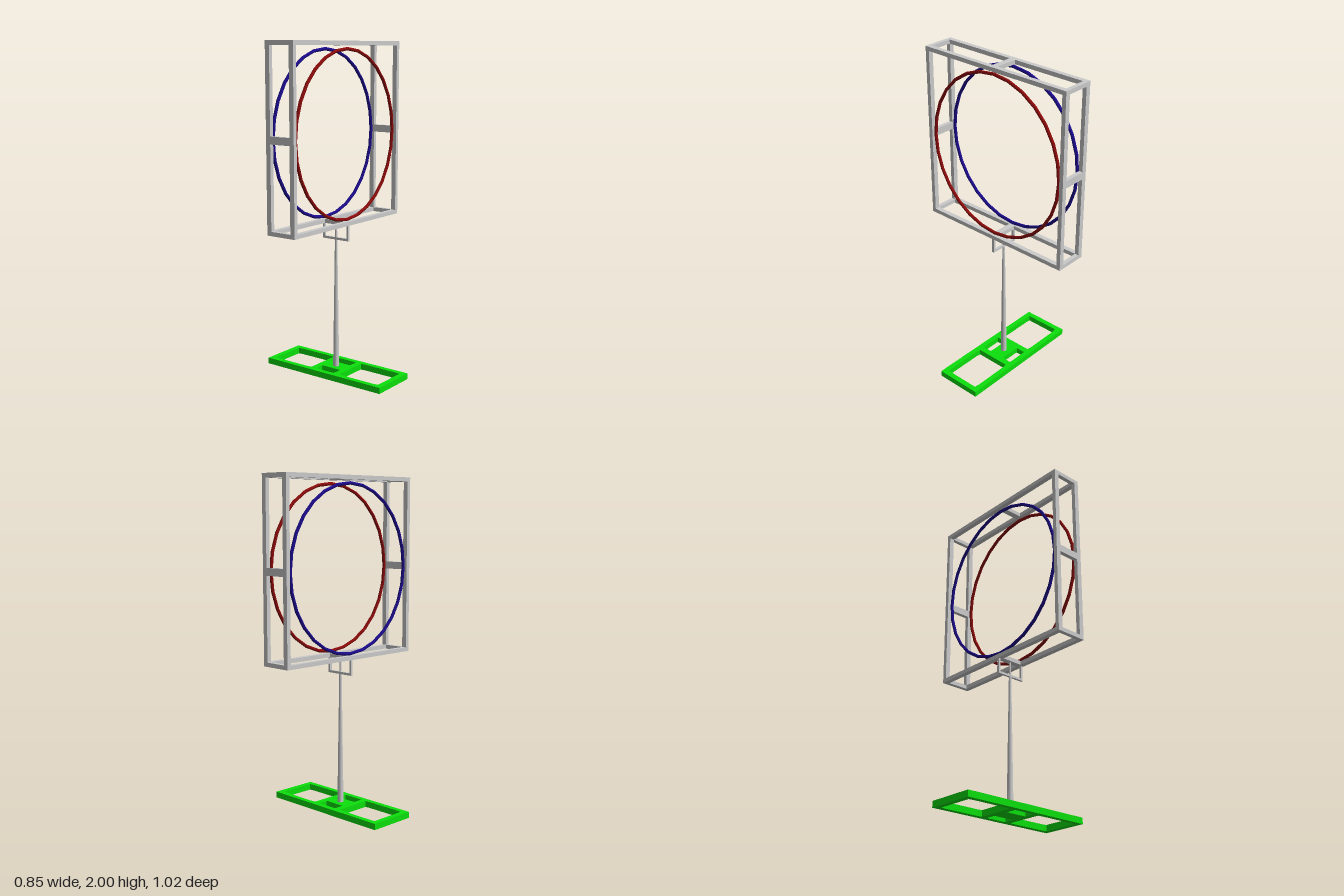
import * as THREE from 'three';

const paint = (color) => new THREE.MeshStandardMaterial({ color, flatShading: true });

export function createModel() {
  const model = new THREE.Group();
  const grey = paint(0xcccccc), green = paint(0x0ce00c), red = paint(0x8b0a0a), blue = paint(0x1a0a8b);

  const add = (parent, name, geometry, material, x = 0, y = 0, z = 0) => {
    const mesh = new THREE.Mesh(geometry, material);
    mesh.name = name;
    mesh.position.set(x, y, z);
    parent.add(mesh);
    return mesh;
  };
  const bar = (parent, name, w, h, d, x, y, z) =>
    add(parent, name, new THREE.BoxGeometry(w, h, d), grey, x, y, z);
  const part = (name) => {
    const group = new THREE.Group();
    group.name = name;
    model.add(group);
    return group;
  };

  // Flat base with two large windows and two small slots around a centre plate
  const outline = new THREE.Shape([[-0.424, -0.148], [0.424, -0.148], [0.424, 0.148], [-0.424, 0.148]]
    .map(([x, y]) => new THREE.Vector2(x, y)));
  const cutHole = (x0, x1, y0, y1, cx, cy0, cy1) => outline.holes.push(new THREE.Path([
    [x0, y0 + cy0], [x0, y1 - cy1], [x0 + cx, y1], [x1 - cx, y1],
    [x1, y1 - cy1], [x1, y0 + cy0], [x1 - cx, y0], [x0 + cx, y0],
  ].map(([x, y]) => new THREE.Vector2(x, y))));
  for (const s of [-1, 1]) {
    cutHole(s * 0.248 - 0.142, s * 0.248 + 0.142, -0.116, 0.116, 0.03, 0.004, 0.004);
    cutHole(-0.068, 0.068, s * 0.083 - 0.032, s * 0.083 + 0.032, 0.01, 0.003, 0.003);
  }
  const baseGeometry = new THREE.ExtrudeGeometry(outline, { depth: 0.037, bevelEnabled: false });
  baseGeometry.rotateX(-Math.PI / 2);
  add(model, 'base', baseGeometry, green, 0, 0, 0.002);

  // Tapered pole
  add(model, 'pole', new THREE.CylinderGeometry(0.006, 0.019, 0.9, 16), grey, 0, 0.48, 0.003);

  // U-shaped bracket between pole and frame
  const bracket = part('bracket');
  bar(bracket, 'bracketBottom', 0.19, 0.014, 0.014, 0, 0.837, 0.003);
  for (const s of [-1, 1]) bar(bracket, 'bracketArm', 0.014, 0.1, 0.014, s * 0.088, 0.88, 0.003);

  // Box frame: two rectangles joined by corner and middle bars
  const frame = part('frame');
  const bottom = 0.925, top = 2, middle = 1.4625, t = 0.025;
  for (const s of [-1, 1]) {
    const z = s * (0.509 - t / 2);
    const y = s > 0 ? top - t / 2 : bottom + t / 2;
    for (const x of [-0.084, 0.084]) {
      bar(frame, 'post', 0.03, top - bottom, t, x, middle, z);
      bar(frame, 'rail', 0.03, t, 1.018 - 2 * t, x, y, 0);
    }
    for (const e of [-1, 1]) bar(frame, 'cornerBar', 0.138, t, t, 0, y, e * (0.509 - t / 2));
    bar(frame, 'sideCrossBar', 0.138, 0.044, t, 0, 1.46, z);
    bar(frame, 'middleCrossBar', 0.138, t, 0.038, 0, y, 0.002);
  }

  // Two slightly oval rings, one on each side
  for (const [name, x, material] of [['leftRing', 0.08, red], ['rightRing', -0.08, blue]]) {
    const ring = new THREE.TorusGeometry(0.5, 0.01, 8, 28);
    ring.scale(0.47 / 0.5, 0.497 / 0.5, 1);
    ring.rotateY(Math.PI / 2);
    add(model, name, ring, material, x, 1.458, 0.003);
  }
  return model;
}
